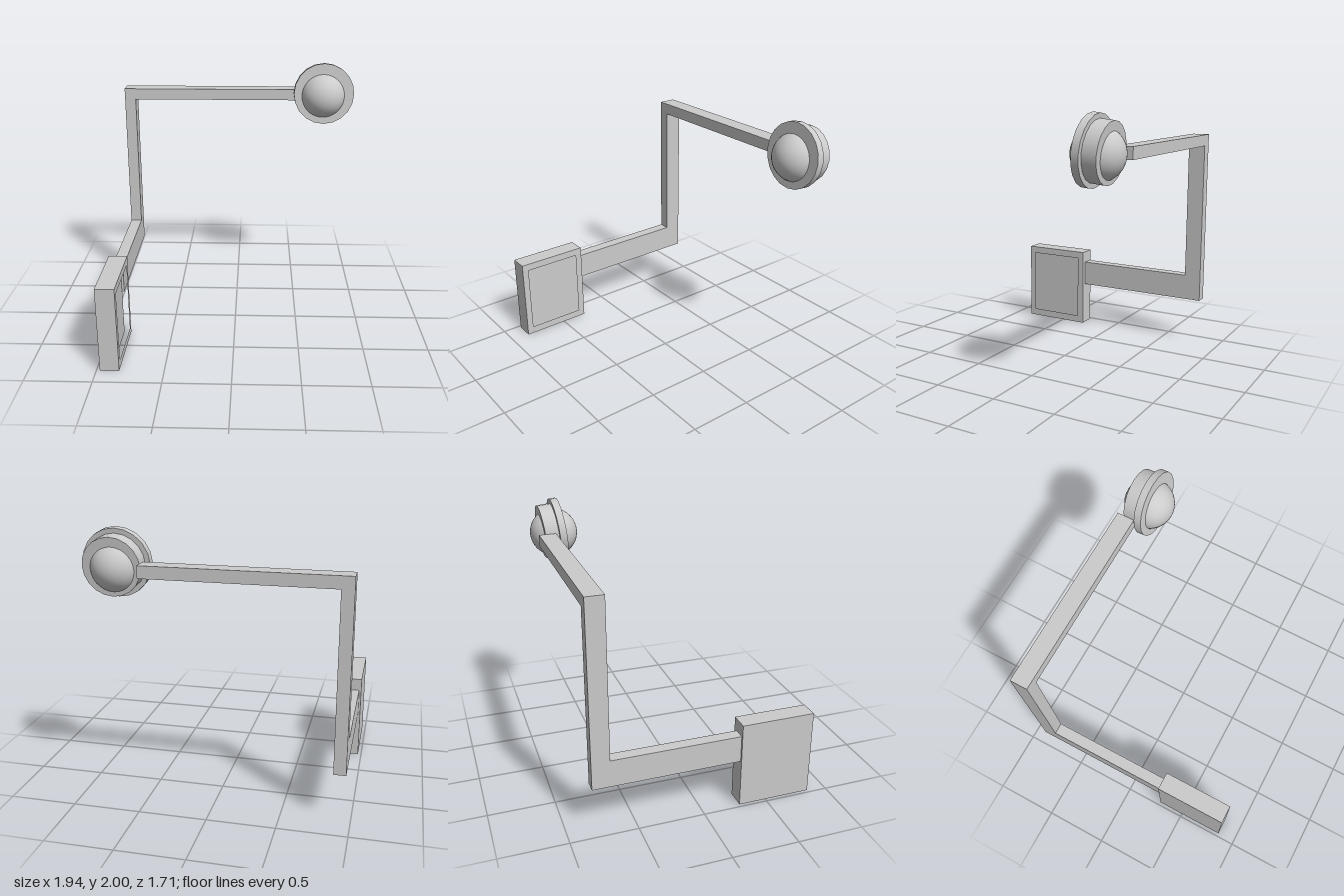
import * as THREE from 'three';

const material = new THREE.MeshStandardMaterial({ color: 0xcccccc });

function part(parent, name, geometry, x = 0, y = 0, z = 0) {
  const mesh = new THREE.Mesh(geometry, material);
  mesh.name = name;
  mesh.position.set(x, y, z);
  parent.add(mesh);
  return mesh;
}

// Box given by its minimum and maximum corners
function boxBetween(parent, name, a, b) {
  const size = a.map((v, i) => b[i] - v);
  const mid = a.map((v, i) => (b[i] + v) / 2);
  return part(parent, name, new THREE.BoxGeometry(...size), ...mid);
}

// Side profile of [z, y] points, extruded from x0 to x1
function sideExtrude(points, x0, x1, hole) {
  const toVectors = (list) => list.map(([z, y]) => new THREE.Vector2(-z, y));
  const shape = new THREE.Shape(toVectors(points));
  if (hole) shape.holes.push(new THREE.Path(toVectors(hole)));
  return new THREE.ExtrudeGeometry(shape, { depth: x1 - x0, bevelEnabled: false })
    .rotateY(Math.PI / 2)
    .translate(x0, 0, 0);
}

const rect = (z0, y0, z1, y1) => [[z0, y0], [z1, y0], [z1, y1], [z0, y1]];

export function createModel() {
  const model = new THREE.Group();
  model.name = 'angledArmWithBall';

  // Mounting box with a recessed face towards +x
  const box = new THREE.Group();
  box.name = 'mountingBox';
  model.add(box);
  boxBetween(box, 'boxBack', [-0.974, 0, 0.29], [-0.886, 0.668, 0.855]);
  part(box, 'boxRim', sideExtrude(
    rect(0.29, 0, 0.855, 0.668), -0.886, -0.831,
    rect(0.345, 0.06, 0.803, 0.61)));

  // Arm: lower beam and post in one L, then the crossbar
  part(model, 'lowerArm', sideExtrude([
    [0.3, 0.365], [0.3, 0.573], [-0.685, 0.573],
    [-0.685, 1.77], [-0.82, 1.77], [-0.82, 0.365],
  ], -0.957, -0.867));
  boxBetween(model, 'crossbar', [-0.867, 1.68, -0.82], [0.51, 1.77, -0.685]);

  // Tilted housing: wide flange in front, drum behind
  const housing = new THREE.Group();
  housing.name = 'ballHousing';
  housing.position.set(0.717, 1.753, -0.603);
  housing.rotation.x = -0.096;
  model.add(housing);
  const disc = (r, depth) => new THREE.CylinderGeometry(r, r, depth, 20).rotateX(Math.PI / 2);
  part(housing, 'flange', disc(0.249, 0.056), 0, 0, -0.028);
  part(housing, 'drum', disc(0.213, 0.108), 0, 0, -0.109);

  // Ball showing on both sides of the housing
  part(model, 'ball', new THREE.SphereGeometry(0.188, 40, 24), 0.71, 1.73, -0.666);

  return model;
}
